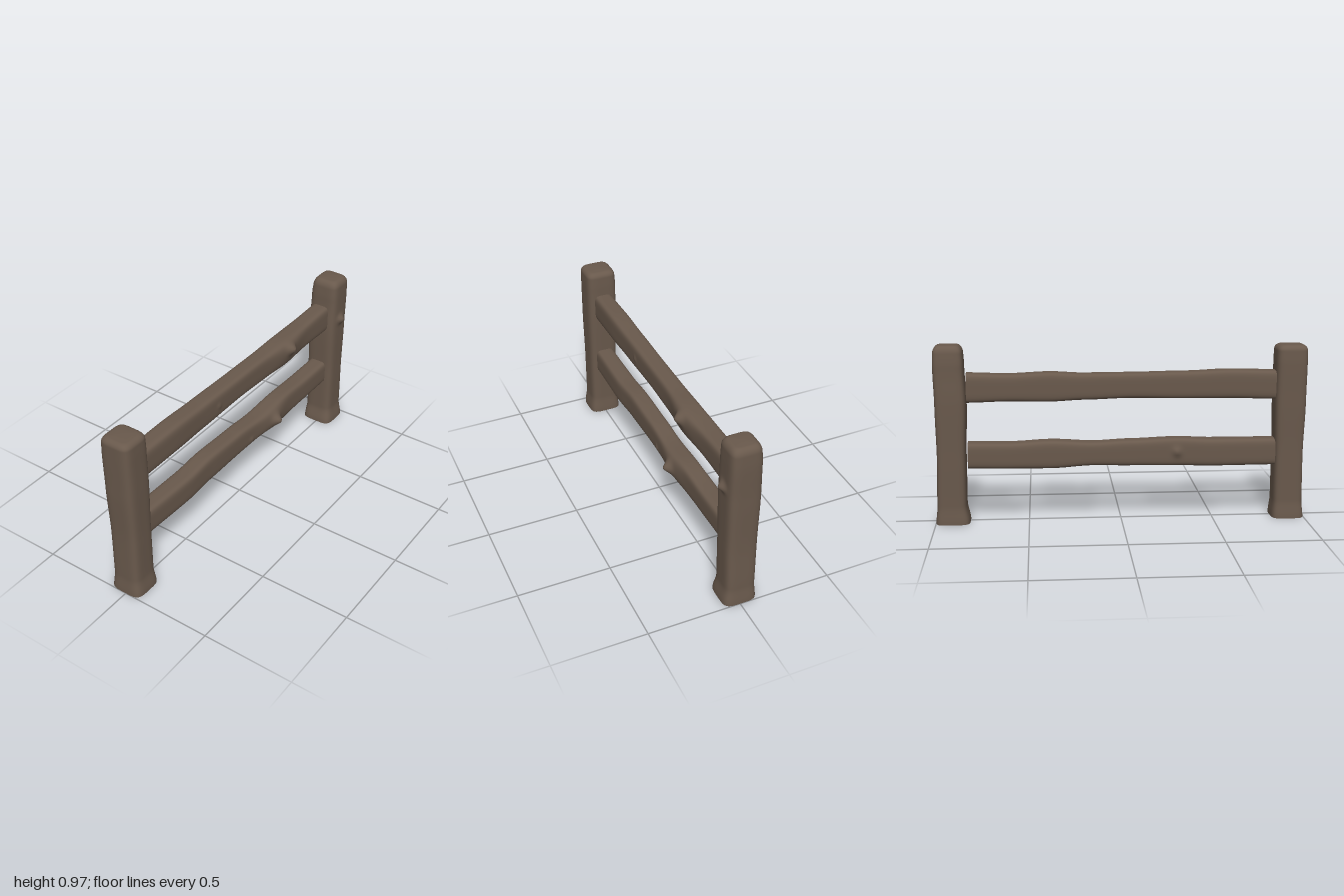
import * as THREE from 'three';

const SIDES = 48;

// Smoothly read a row of values from keyed sections [t, a0, a1, b0, b1]
function sample(keys, t) {
  let i = 0;
  while (i < keys.length - 2 && t > keys[i + 1][0]) i++;
  const [p, q] = [keys[i], keys[i + 1]];
  const k = THREE.MathUtils.smoothstep(t, p[0], q[0]);
  return p.slice(1).map((v, j) => v + (q[j + 1] - v) * k);
}

// Loft a soft-cornered square section along y (upright) or z, with knots on the x faces
function timber(name, material, keys, { upright = false, rings = 120, power = 5, roundTop = 0, knots = [] }) {
  const pos = [], index = [];
  const t0 = keys[0][0], t1 = keys[keys.length - 1][0];
  const put = (a, b, t) => pos.push(...(upright ? [a, t, b] : [a, b, t]));
  const face = (i, j, k) => index.push(...(upright ? [i, k, j] : [i, j, k]));

  function ring(t) {
    const [a0, a1, b0, b1] = sample(keys, t);
    const d = t1 - t;
    const inset = d < roundTop ? 0.032 * (1 - Math.sqrt(1 - (1 - d / roundTop) ** 2)) : 0;
    for (let s = 0; s < SIDES; s++) {
      // walk around a square, then pull its corners in
      const side = Math.floor(s / (SIDES / 4)), f = (s % (SIDES / 4)) / (SIDES / 8) - 1;
      let [u, v] = [[1, f], [-f, 1], [-1, -f], [f, -1]][side];
      const m = (Math.abs(u) ** power + Math.abs(v) ** power) ** (-1 / power);
      u *= m; v *= m;
      let a = (a0 + a1) / 2 + u * ((a1 - a0) / 2 - inset);
      const b = (b0 + b1) / 2 + v * ((b1 - b0) / 2 - inset);
      const [y, z] = upright ? [t, b] : [b, t];
      for (const k of knots) {
        const w = Math.max(0, k.side * u) ** 2;
        a += k.side * k.h * w * Math.exp(-(((y - k.y) / k.ry) ** 2) - ((z - k.z) / k.rz) ** 2);
      }
      put(a, b, t);
    }
  }

  // Walls
  for (let r = 0; r <= rings; r++) {
    const f = r / rings;
    ring(t0 + (t1 - t0) * (upright ? 0.5 - 0.5 * Math.cos(Math.PI * f) : f));
  }
  for (let r = 0; r < rings; r++) for (let s = 0; s < SIDES; s++) {
    const n = (s + 1) % SIDES, p = r * SIDES, q = p + SIDES;
    face(p + s, p + n, q + n);
    face(p + s, q + n, q + s);
  }
  // End caps
  for (const [t, end] of [[t0, -1], [t1, 1]]) {
    const start = pos.length / 3;
    ring(t);
    const [a0, a1, b0, b1] = sample(keys, t);
    put((a0 + a1) / 2, (b0 + b1) / 2, t + (end > 0 && roundTop ? 0.005 : 0));
    for (let s = 0; s < SIDES; s++) {
      const n = (s + 1) % SIDES;
      if (end > 0) face(start + SIDES, start + s, start + n);
      else face(start + SIDES, start + n, start + s);
    }
  }

  const geo = new THREE.BufferGeometry();
  geo.setAttribute('position', new THREE.Float32BufferAttribute(pos, 3));
  geo.setIndex(index);
  geo.computeVertexNormals();
  const mesh = new THREE.Mesh(geo, material);
  mesh.name = name;
  return mesh;
}

const knot = (side, y, z, h, rz, ry = rz) => ({ side, y, z, h, rz, ry });

export function createModel() {
  const group = new THREE.Group();
  group.name = 'fence';
  const wood = new THREE.MeshStandardMaterial({ color: 0x69594c });
  wood.name = 'brown wood';

  // Posts: flared foot, slightly wavy sides, rounded top
  group.add(timber('frontPost', wood, [
    [0, -0.1, 0.083, 0.825, 1.0],
    [0.1, -0.091, 0.072, 0.833, 0.992],
    [0.35, -0.092, 0.073, 0.834, 0.99],
    [0.65, -0.098, 0.076, 0.83, 0.998],
    [0.85, -0.1, 0.075, 0.832, 1.0],
    [0.95, -0.096, 0.073, 0.835, 1.0],
  ], { upright: true, power: 4.5, roundTop: 0.03 }));
  group.add(timber('backPost', wood, [
    [0, -0.1, 0.083, -1.0, -0.818],
    [0.1, -0.093, 0.07, -0.992, -0.834],
    [0.35, -0.096, 0.072, -0.986, -0.832],
    [0.65, -0.1, 0.075, -0.99, -0.824],
    [0.85, -0.094, 0.075, -0.995, -0.832],
    [0.962, -0.086, 0.073, -0.992, -0.838],
  ], { upright: true, power: 4.5, roundTop: 0.04, knots: [knot(1, 0.712, -0.905, 0.028, 0.024)] }));

  // Rails: long timbers between the posts with swellings around the knots
  group.add(timber('upperRail', wood, [
    [-0.822, -0.066, 0.041, 0.655, 0.811],
    [-0.6, -0.066, 0.041, 0.66, 0.804],
    [-0.38, -0.06, 0.042, 0.655, 0.811],
    [-0.2, -0.062, 0.041, 0.663, 0.803],
    [0.05, -0.062, 0.04, 0.67, 0.804],
    [0.35, -0.064, 0.041, 0.664, 0.808],
    [0.58, -0.064, 0.045, 0.662, 0.816],
    [0.85, -0.064, 0.041, 0.655, 0.81],
  ], {
    rings: 160,
    knots: [
      knot(1, 0.755, -0.4, 0.023, 0.14, 0.09),
      knot(1, 0.765, -0.4, 0.032, 0.03),
      knot(1, 0.735, 0.235, 0.006, 0.014),
    ],
  }));
  group.add(timber('lowerRail', wood, [
    [-0.822, -0.066, 0.041, 0.298, 0.436],
    [-0.6, -0.066, 0.041, 0.294, 0.433],
    [-0.38, -0.062, 0.042, 0.291, 0.442],
    [-0.15, -0.062, 0.042, 0.304, 0.43],
    [0.05, -0.064, 0.04, 0.3, 0.439],
    [0.3, -0.064, 0.041, 0.296, 0.447],
    [0.5, -0.062, 0.047, 0.29, 0.438],
    [0.85, -0.064, 0.041, 0.292, 0.438],
  ], {
    rings: 160,
    knots: [
      knot(1, 0.365, -0.27, 0.02, 0.12, 0.08),
      knot(1, 0.362, -0.27, 0.036, 0.03),
      knot(1, 0.34, -0.06, 0.006, 0.014),
      knot(-1, 0.375, 0.3, 0.015, 0.024),
    ],
  }));
  return group;
}
